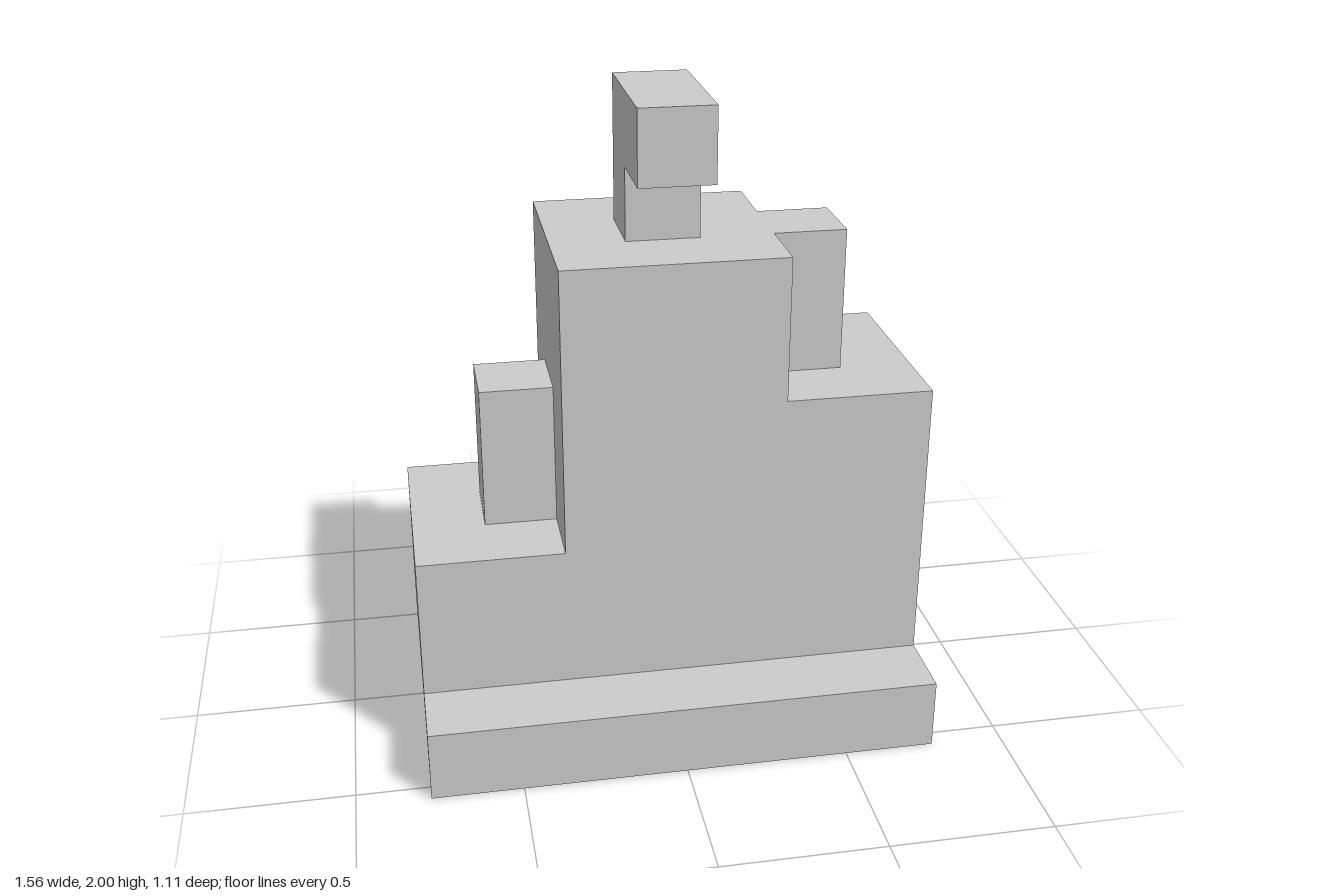
import * as THREE from 'three';

// The model is laid out on a grid nine cells tall
const U = 2 / 9;

export function createModel() {
  const group = new THREE.Group();
  const material = new THREE.MeshStandardMaterial({ color: 0xcccccc, flatShading: true });

  const add = (name, geometry) => {
    const mesh = new THREE.Mesh(geometry, material);
    mesh.name = name;
    group.add(mesh);
    return mesh;
  };

  // Box sized in cells, standing with its bottom at y
  const block = (name, w, h, d, x, y) =>
    add(name, new THREE.BoxGeometry(w * U, h * U, d * U)).position.set(x * U, (y + h / 2) * U, 0);

  // Profile in cells, extruded evenly about its own plane
  const slab = (points, depth) => {
    const shape = new THREE.Shape(points.map(([a, b]) => new THREE.Vector2(a * U, b * U)));
    return new THREE.ExtrudeGeometry(shape, { depth: depth * U, bevelEnabled: false })
      .translate(0, 0, -depth * U / 2);
  };

  // Wide plinth
  block('base', 7, 1, 5, 0, 0);

  // Stepped body, with a higher step on the left than on the right
  add('steppedBody', slab([
    [-3.5, 1], [3.5, 1], [3.5, 5], [1.5, 5], [1.5, 7], [-1.5, 7], [-1.5, 3], [-3.5, 3],
  ], 3));

  // Pillars standing on the steps against the body
  block('rightPillar', 1, 2, 1, -2, 3);
  block('leftPillar', 1, 2, 1, 2, 5);

  // Post with an arm reaching forward
  add('topHook', slab([
    [-0.5, 7], [0.5, 7], [0.5, 8], [1.5, 8], [1.5, 9], [-0.5, 9],
  ], 1).rotateY(-Math.PI / 2));

  return group;
}
